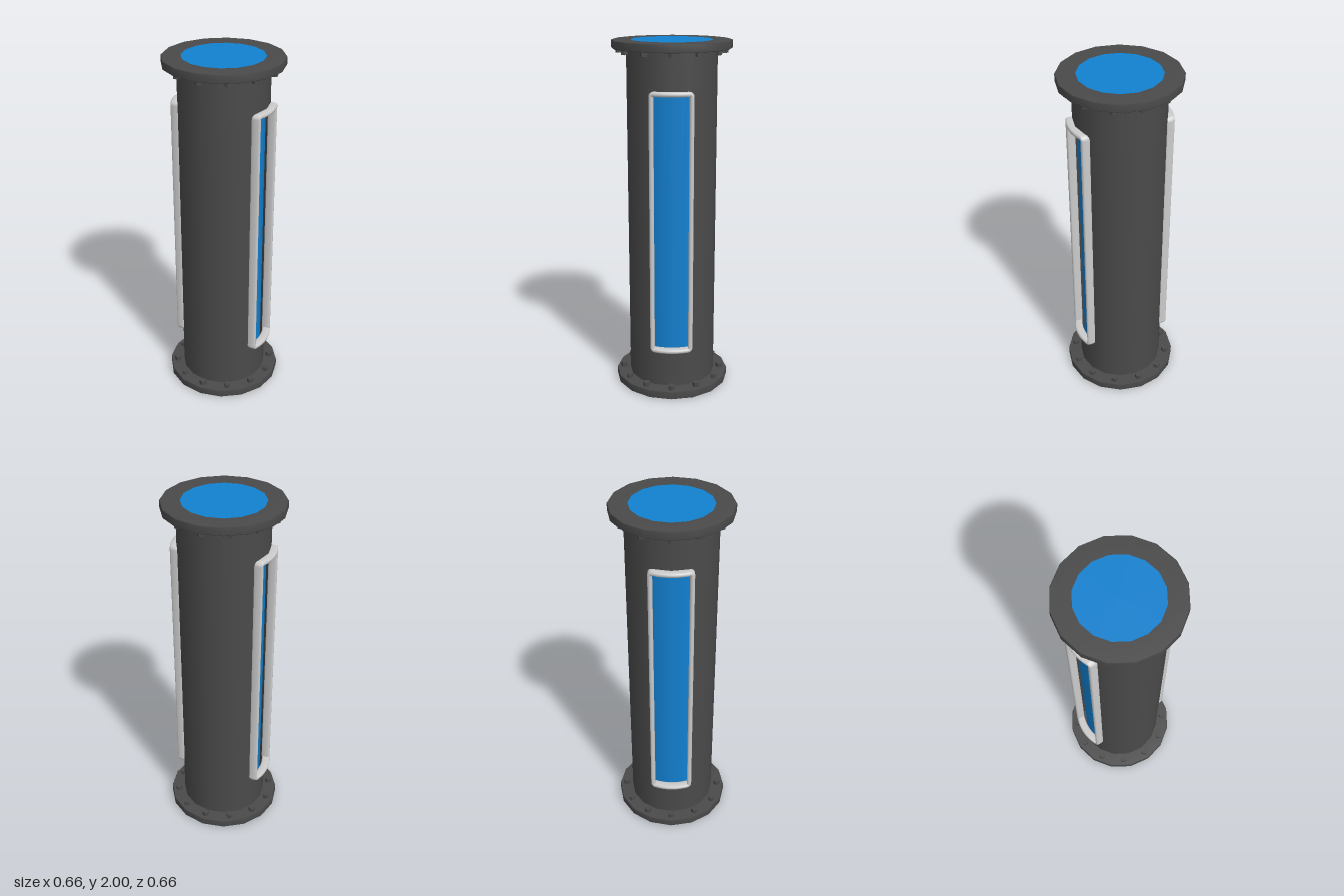
import * as THREE from 'three';
import { mergeVertices } from 'three/addons/utils/BufferGeometryUtils.js';

const SIDES = 16, BODY_R = 0.25, CORE_R = 0.225;
const WIN_Y = 1.005, WIN_H = 0.72;        // window centre and half height
const SLOT = Math.PI / 8;                 // half angle of each window slot

const mat = (color, side = THREE.FrontSide) => new THREE.MeshStandardMaterial({ color, side });
const darkMat = mat(0x4a4a4a, THREE.DoubleSide);
const blueMat = mat(0x1280d0);
const frameMat = mat(0xcccccc, THREE.DoubleSide);

function add(parent, name, geometry, material, y = 0) {
  const mesh = new THREE.Mesh(geometry, material);
  mesh.name = name;
  mesh.position.y = y;
  parent.add(mesh);
  return mesh;
}

// Open piece of the body wall between two heights
function wall(y0, y1, start = 0, length = Math.PI * 2) {
  const segments = Math.round(length / (Math.PI * 2) * SIDES);
  const g = new THREE.CylinderGeometry(BODY_R, BODY_R, y1 - y0, segments, 1, true, start, length);
  return g.translate(0, (y0 + y1) / 2, 0);
}

// Rounded rectangular frame, swept along a loop and wrapped onto the body
function windowFrame() {
  const hz = 0.108, hy = 0.731, rc = 0.014; // centreline half sizes, corner radius
  const path = [];                          // z, y and outward normal
  const corner = (sz, sy, a0) => {
    for (let i = 0; i <= 4; i++) {
      const a = a0 + i * Math.PI / 8, c = Math.cos(a), s = Math.sin(a);
      path.push([sz * (hz - rc) + rc * c, sy * (hy - rc) + rc * s, c, s]);
    }
  };
  const edge = (dir) => {
    for (let i = 1; i < 10; i++) path.push([dir * (hz - rc) * (1 - i / 5), dir * hy, 0, dir]);
  };
  corner(1, 1, 0);
  edge(1);
  corner(-1, 1, Math.PI / 2);
  corner(-1, -1, Math.PI);
  edge(-1);
  corner(1, -1, Math.PI * 1.5);

  const N = 12, pos = [], idx = [], soft = (v) => Math.sign(v) * Math.pow(Math.abs(v), 0.6);
  path.forEach(([z, y, nz, ny], i) => {
    for (let j = 0; j < N; j++) {
      const a = j / N * Math.PI * 2;
      const w = 0.013 * soft(Math.cos(a)), h = 0.025 * soft(Math.sin(a));
      const pz = z + nz * w;
      pos.push(Math.sqrt(0.261 ** 2 - z * z) + h, y + ny * w, pz);
      const k = (j + 1) % N, n = (i + 1) % path.length;
      const p = i * N + j, q = n * N + j, r = n * N + k, s = i * N + k;
      idx.push(p, r, q, p, s, r);
    }
  });
  const g = new THREE.BufferGeometry();
  g.setAttribute('position', new THREE.Float32BufferAttribute(pos, 3));
  g.setIndex(idx);
  const merged = mergeVertices(g);
  merged.computeVertexNormals();
  return merged;
}

export function createModel() {
  const model = new THREE.Group();
  model.name = 'windowedTank';

  // Blue filling, visible at both ends and through the windows
  add(model, 'core', new THREE.CylinderGeometry(CORE_R, CORE_R, 2, SIDES), blueMat, 1);

  // Body wall with two slots facing +x and -x
  const body = new THREE.Group();
  body.name = 'body';
  model.add(body);
  const lo = WIN_Y - WIN_H, hi = WIN_Y + WIN_H;
  add(body, 'lowerWall', wall(0.02, lo), darkMat);
  add(body, 'upperWall', wall(hi, 1.98), darkMat);
  for (const turn of [0, Math.PI]) {
    const arc = wall(lo, hi, turn - Math.PI / 2 + SLOT, Math.PI - 2 * SLOT);
    add(body, turn ? 'backWall' : 'frontWall', arc, darkMat);
  }

  // Flanges with a ring of bolts on their inner faces
  const profile = [[CORE_R, 0], [0.326, 0], [0.33, 0.004], [0.33, 0.042], [0.327, 0.046], [CORE_R, 0.046]]
    .map(([x, y]) => new THREE.Vector2(x, y));
  const flangeGeo = new THREE.LatheGeometry(profile, SIDES);
  const boltGeo = new THREE.CylinderGeometry(0.02, 0.02, 0.03, 6).toNonIndexed();
  boltGeo.computeVertexNormals();
  for (const top of [false, true]) {
    const end = new THREE.Group();
    end.name = top ? 'topFlange' : 'bottomFlange';
    add(end, 'flangeRing', flangeGeo, darkMat);
    for (let i = 0; i < 12; i++) {
      const a = i * Math.PI / 6;
      const bolt = add(end, 'bolt', boltGeo, darkMat, 0.056);
      bolt.position.x = 0.287 * Math.sin(a);
      bolt.position.z = 0.287 * Math.cos(a);
      bolt.rotation.y = a;
    }
    if (top) {
      end.rotation.x = Math.PI;
      end.position.y = 2;
    }
    model.add(end);
  }

  // Window frames on both sides
  const frameGeo = windowFrame();
  for (const side of [0, 1]) {
    const frame = add(model, side ? 'rightWindowFrame' : 'leftWindowFrame', frameGeo, frameMat, WIN_Y);
    frame.rotation.y = side * Math.PI;
  }
  return model;
}
